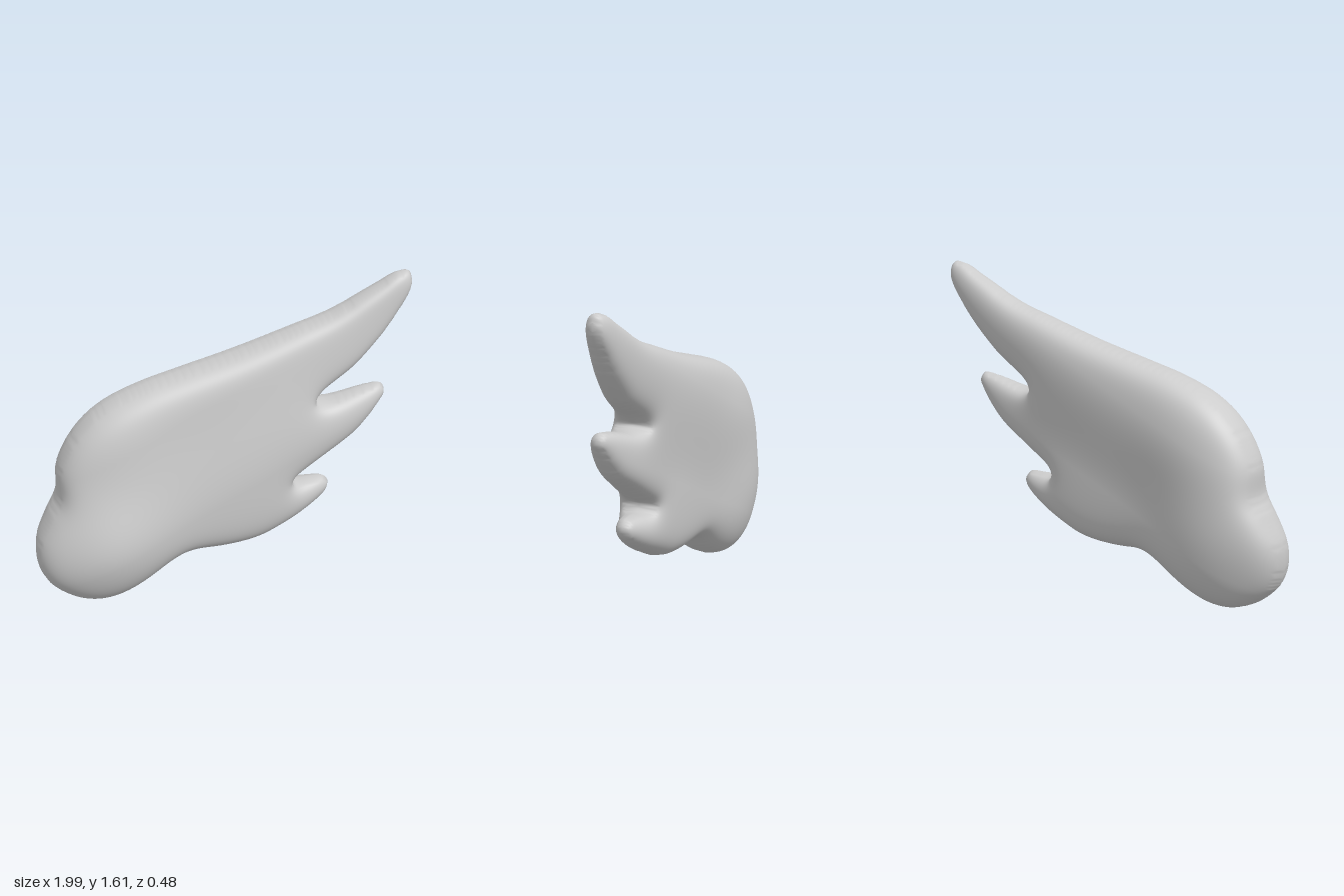
import * as THREE from 'three';

// Wing silhouette in the x,y plane, counter-clockwise from the bottom of the shoulder
const OUTLINE = [
  [-0.70, 0], [-0.60, 0.01], [-0.50, 0.05], [-0.40, 0.11], [-0.30, 0.18], [-0.22, 0.215],
  [-0.04, 0.208], [0.16, 0.226], [0.30, 0.283], [0.44, 0.355], [0.54, 0.43], [0.56, 0.475],
  [0.53, 0.515], [0.45, 0.52], [0.37, 0.52], [0.35, 0.55], [0.42, 0.60], [0.55, 0.68],
  [0.70, 0.78], [0.82, 0.92], [0.85, 0.97], [0.83, 1.015], [0.75, 1.01], [0.62, 0.98],
  [0.52, 0.965], [0.47, 0.98], [0.52, 1.03], [0.66, 1.12], [0.79, 1.24], [0.92, 1.40],
  [0.993, 1.53], [0.975, 1.60], [0.92, 1.60], [0.80, 1.54], [0.57, 1.425], [0.38, 1.365],
  [0.10, 1.28], [-0.20, 1.205], [-0.43, 1.145], [-0.61, 1.07], [-0.73, 0.98], [-0.825, 0.85],
  [-0.868, 0.74], [-0.875, 0.60], [-0.93, 0.50], [-0.99, 0.37], [-0.995, 0.25], [-0.96, 0.15],
  [-0.88, 0.07], [-0.79, 0.02],
];

const STEP = 0.0105;       // grid spacing
const SPREAD = 0.18;       // distance over which the edge rounds off

// Nearest outline point, its distance, and whether (x, y) is inside
function probe(pts, x, y) {
  let best = Infinity, px = 0, py = 0, inside = false;
  for (let i = 0; i < pts.length; i++) {
    const a = pts[i], b = pts[(i + 1) % pts.length];
    const ex = b.x - a.x, ey = b.y - a.y;
    const len2 = ex * ex + ey * ey;
    if (len2 < 1e-14) continue;
    const t = Math.min(1, Math.max(0, ((x - a.x) * ex + (y - a.y) * ey) / len2));
    const qx = a.x + ex * t, qy = a.y + ey * t;
    const d = Math.hypot(x - qx, y - qy);
    if (d < best) { best = d; px = qx; py = qy; }
    if ((a.y > y) !== (b.y > y) && x < a.x + ex * (y - a.y) / ey) inside = !inside;
  }
  return { d: best, px, py, inside };
}

const bump = (x, y, cx, cy, r) => Math.exp(-((x - cx) ** 2 + (y - cy) ** 2) / (r * r));

// Half thickness from the inflation height h: thick at the shoulder, thin at the tips
function halfThickness(x, y, h) {
  const limit = 0.18 - 0.055 * x - 0.055 * x * x;
  const bulge = 0.45 * bump(x, y, -0.66, 0.33, 0.32) + 0.14 * bump(x, y, -0.58, 0.86, 0.28);
  return limit * h / Math.cbrt(h ** 3 + limit ** 3) * (1 + bulge);
}

// The leading feather and upper lobe sit slightly further back
const midZ = (x, y) => -0.055 * THREE.MathUtils.smoothstep(y - 0.45 * x, 0.55, 1.1);

function inflatedGeometry() {
  const curve = new THREE.CatmullRomCurve3(
    OUTLINE.map(([x, y]) => new THREE.Vector3(x, y, 0)), true, 'centripetal');
  const pts = curve.getPoints(400).slice(0, -1);

  // Grid whose rim nodes are pulled onto the outline
  const nx = Math.ceil(2.1 / STEP), ny = Math.ceil(1.72 / STEP);
  const nodes = [];
  for (let j = 0; j <= ny; j++) {
    for (let i = 0; i <= nx; i++) {
      const x = -1.05 + i * STEP, y = -0.05 + j * STEP;
      const p = probe(pts, x, y);
      const core = p.inside && p.d > 0.5 * STEP;
      nodes.push({ x: core ? x : p.px, y: core ? y : p.py, core, u: 0 });
    }
  }

  // Inflate like a soft cushion: relax a membrane pinned at the rim
  const row = nx + 1;
  const cells = [];
  nodes.forEach((n, k) => {
    if (!n.core) return;
    const near = [k - 1, k + 1, k - row, k + row].map((m) => {
      const o = nodes[m];
      return { o, w: 1 / Math.max(0.4 * STEP, Math.hypot(o.x - n.x, o.y - n.y)) };
    });
    const sum = near.reduce((s, e) => s + e.w, 0) + STEP / (SPREAD * SPREAD);
    cells.push({ n, near, sum });
  });
  for (let pass = 0; pass < 400; pass++) {
    for (const { n, near, sum } of cells) {
      let s = STEP;
      for (const e of near) s += e.w * e.o.u;
      n.u += 1.8 * (s / sum - n.u);
    }
  }

  // Normalise so the shoulder reaches its full depth
  let deepest = 0;
  for (const { n } of cells) {
    n.t = halfThickness(n.x, n.y, Math.sqrt(2 * Math.max(0, n.u)));
    deepest = Math.max(deepest, n.t);
  }
  const depth = 0.237 / deepest;

  // Front and back skins share their rim vertices
  const position = [], index = [];
  const vertex = (k, side) => {
    const n = nodes[k], key = n.core && side < 0 ? 'back' : 'front';
    if (n[key] === undefined) {
      n[key] = position.length / 3;
      position.push(n.x, n.y, midZ(n.x, n.y) + (n.core ? side * n.t * depth : 0));
    }
    return n[key];
  };
  const triangle = (a, b, c) => {
    index.push(vertex(a, 1), vertex(b, 1), vertex(c, 1));
    index.push(vertex(a, -1), vertex(c, -1), vertex(b, -1));
  };
  for (let j = 0; j < ny; j++) {
    for (let i = 0; i < nx; i++) {
      const a = j * row + i, b = a + 1, c = b + row, d = a + row;
      if (nodes[a].core || nodes[c].core) {
        triangle(a, b, c);
        triangle(a, c, d);
      } else if (nodes[b].core || nodes[d].core) {
        triangle(a, b, d);
        triangle(b, c, d);
      }
    }
  }
  const geometry = new THREE.BufferGeometry();
  geometry.setAttribute('position', new THREE.Float32BufferAttribute(position, 3));
  geometry.setIndex(index);
  geometry.computeVertexNormals();
  return geometry;
}

export function createModel() {
  const group = new THREE.Group();
  group.name = 'wing';
  const wing = new THREE.Mesh(inflatedGeometry(), new THREE.MeshStandardMaterial({ color: 0xcccccc }));
  wing.name = 'featheredWing';
  group.add(wing);
  return group;
}
